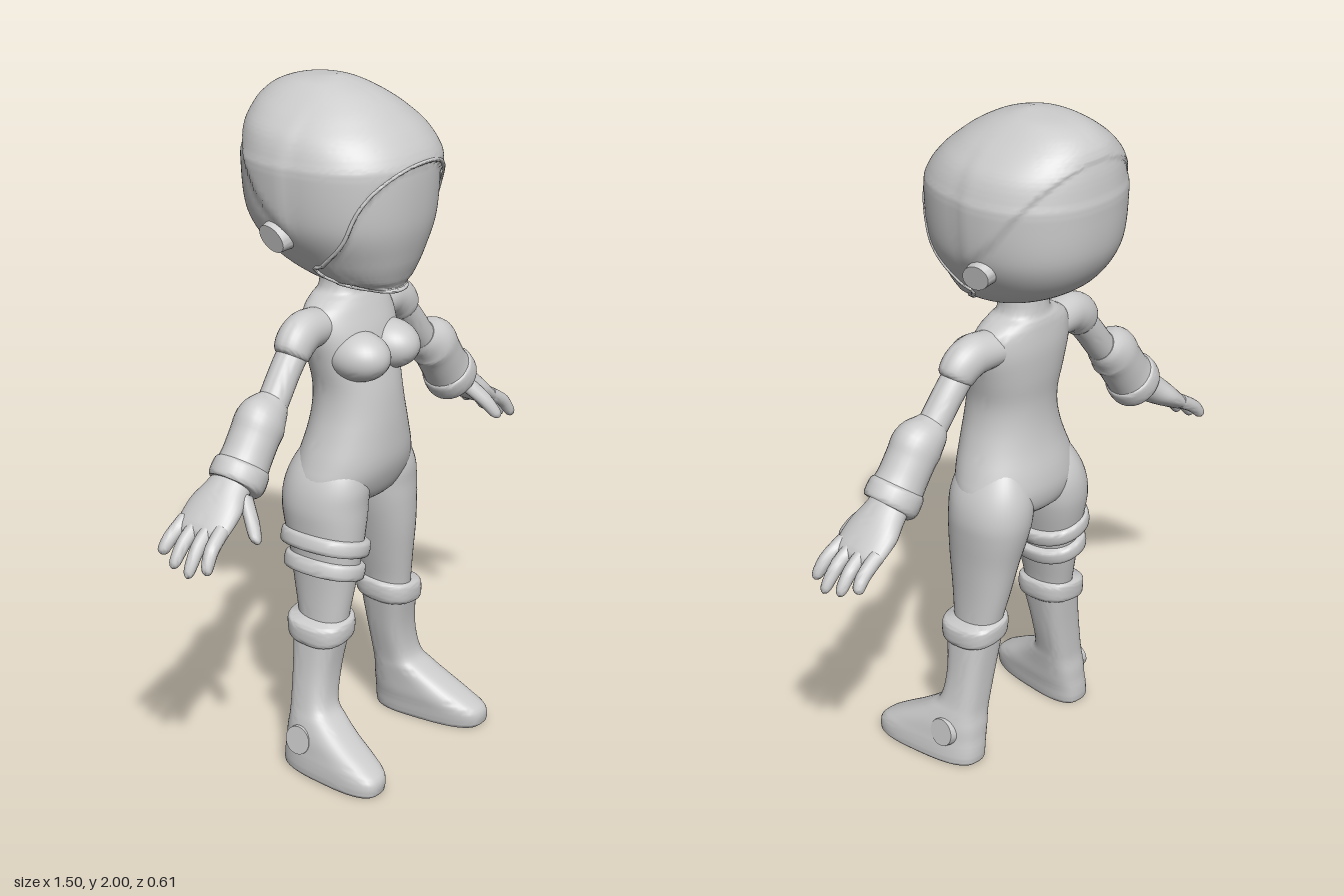
import * as THREE from 'three';
import { toCreasedNormals } from 'three/addons/utils/BufferGeometryUtils.js';

const grey = new THREE.MeshStandardMaterial({ color: 0xcccccc });
const smooth = (a, b, v) => THREE.MathUtils.smoothstep(v, a, b);
const spow = (v, p) => Math.sign(v) * Math.abs(v) ** p;

// Catmull-Rom refinement of rows of numbers
function refine(rows, steps) {
  const out = [], last = rows.length - 1;
  const row = i => rows[Math.min(last, Math.max(0, i))];
  for (let i = 0; i < last; i++)
    for (let s = 0; s < steps; s++) {
      const t = s / steps;
      out.push(rows[i].map((p1, k) => {
        const p0 = row(i - 1)[k], p2 = row(i + 1)[k], p3 = row(i + 2)[k];
        return p1 + 0.5 * t * (p2 - p0 + t * (2 * p0 - 5 * p1 + 4 * p2 - p3 + t * (3 * (p1 - p2) + p3 - p0)));
      }));
    }
  out.push(rows[last]);
  return out;
}

// Capped skin over rings of points
function skin(rings) {
  const n = rings[0].length, pos = rings.flat(2), index = [];
  const at = (i, j) => i * n + (j % n);
  for (let i = 0; i < rings.length - 1; i++)
    for (let j = 0; j < n; j++)
      index.push(at(i, j), at(i + 1, j), at(i, j + 1), at(i + 1, j), at(i + 1, j + 1), at(i, j + 1));
  for (const i of [0, rings.length - 1]) {
    const c = pos.length / 3;
    for (let k = 0; k < 3; k++) pos.push(rings[i].reduce((s, p) => s + p[k], 0) / n);
    for (let j = 0; j < n; j++)
      index.push(c, ...(i ? [at(i, j + 1), at(i, j)] : [at(i, j), at(i, j + 1)]));
  }
  const g = new THREE.BufferGeometry();
  g.setAttribute('position', new THREE.Float32BufferAttribute(pos, 3));
  g.setIndex(index);
  return g;
}

// Level sections going up: [y, x0, x1, z0, z1]
function stack(rows, { n = 40, steps = 4, power = 2.2, bend = p => p } = {}) {
  return skin(refine(rows, steps).map(([y, x0, x1, z0, z1]) => Array.from({ length: n }, (_, j) => {
    const a = j / n * Math.PI * 2, e = 2 / power;
    return bend([(x0 + x1) / 2 + (x1 - x0) / 2 * spow(Math.cos(a), e), y,
      (z0 + z1) / 2 + (z1 - z0) / 2 * spow(Math.sin(a), e)]);
  })));
}
const sym = rows => rows.map(([y, h, z0, z1]) => [y, -h, h, z0, z1]);

// Limb running in the front plane: [x, y, z, thickness radius, depth radius]
function limb(rows, steps = 4, n = 28) {
  const r = refine(rows, steps);
  return skin(r.map(([x, y, z, rn, rz], i) => {
    const p = r[Math.max(0, i - 1)], q = r[Math.min(r.length - 1, i + 1)];
    const dx = q[0] - p[0], dy = q[1] - p[1], l = Math.hypot(dx, dy) || 1;
    return Array.from({ length: n }, (_, j) => {
      const a = j / n * Math.PI * 2, c = Math.cos(a) * rn;
      return [x + c * dy / l, y - c * dx / l, z + rz * Math.sin(a)];
    });
  }));
}

// Rounded finger along three points
function finger(pts, r) {
  const path = new THREE.CatmullRomCurve3(pts.map(p => new THREE.Vector3(...p)));
  const rows = [0, 0.25, 0.5, 0.75, 0.9, 0.97, 1].map((t, i) => {
    const p = path.getPoint(t);
    return [p.x, p.y, p.z, r * [1.1, 1.05, 1, 0.9, 0.75, 0.45, 0.05][i], r * [1.1, 1.05, 1, 0.9, 0.75, 0.45, 0.05][i]];
  });
  return limb(rows, 2, 14);
}

const headRows = sym([
  [1.432, 0.05, 0.1, 0.18], [1.45, 0.10, -0.03, 0.19], [1.47, 0.14, -0.12, 0.2],
  [1.53, 0.19, -0.225, 0.222], [1.63, 0.242, -0.29, 0.245], [1.77, 0.256, -0.305, 0.25],
  [1.82, 0.247, -0.3, 0.238], [1.87, 0.225, -0.292, 0.2], [1.91, 0.19, -0.28, 0.155],
  [1.94, 0.155, -0.265, 0.115], [1.97, 0.112, -0.23, 0.06], [1.99, 0.072, -0.17, 0.0],
  [2.0, 0.015, -0.07, -0.04]]);
const HEAD_POWER = 2.25, VISOR = { y: 1.617, rx: 0.2, ry: 0.185, power: 2.4 };

// Front depth of the helmet at a given x and y
function helmetZ(x, y) {
  const rows = refine(headRows, 8);
  const i = Math.max(1, rows.findIndex(r => r[0] >= y)), a = rows[i - 1], b = rows[i];
  const t = THREE.MathUtils.clamp((y - a[0]) / (b[0] - a[0]), 0, 1);
  const [, , h, z0, z1] = a.map((v, k) => v + (b[k] - v) * t);
  const u = Math.min(1, Math.abs(x) / h);
  return (z0 + z1) / 2 + (z1 - z0) / 2 * (1 - u ** HEAD_POWER) ** (1 / HEAD_POWER);
}

// Sinks the visor and raises the shell above the seam that runs round the back
function shapeHelmet([x, y, z]) {
  if (z > 0.04) {
    const f = Math.abs(x / VISOR.rx) ** VISOR.power + Math.abs((y - VISOR.y) / VISOR.ry) ** VISOR.power;
    z -= 0.012 * (1 - smooth(0.88, 1, f));
  }
  const seam = z > -0.13 ? 1.58 - z * 0.92 : 1.7 + (-0.13 - z) * 1.35;
  const lift = 1 + 0.03 * smooth(-0.008, 0.008, y - seam) * smooth(0, 0.05, -z) * (1 - smooth(1.88, 1.98, y));
  return [x * lift, y, z * (z < -0.1 ? 1 + (lift - 1) * 0.6 : 1)];
}

export function createModel() {
  const model = new THREE.Group();
  const add = (name, geo) => {
    const mesh = new THREE.Mesh(toCreasedNormals(geo, 0.8), grey);
    mesh.name = name;
    model.add(mesh);
  };
  // Adds a left part and its mirrored right twin
  const pair = (name, geo) => {
    const twin = geo.clone().scale(-1, 1, 1);
    twin.index.array.reverse();
    add('left ' + name, geo);
    add('right ' + name, twin);
  };

  // Helmet, visor rim and ear discs
  add('helmet', stack(headRows, { n: 128, steps: 8, power: HEAD_POWER, bend: shapeHelmet }));
  const rim = Array.from({ length: 64 }, (_, i) => {
    const a = i / 64 * Math.PI * 2, e = 2 / VISOR.power;
    const x = VISOR.rx * spow(Math.cos(a), e), y = VISOR.y + VISOR.ry * spow(Math.sin(a), e);
    return new THREE.Vector3(x, y, helmetZ(x, y) - 0.003);
  });
  add('visor rim', new THREE.TubeGeometry(new THREE.CatmullRomCurve3(rim, true), 128, 0.006, 8, true));
  pair('ear disc', new THREE.CylinderGeometry(0.042, 0.048, 0.04, 32).scale(0.85, 1, 1.1)
    .rotateZ(-Math.PI / 2 - 0.25).rotateX(0.5).translate(0.232, 1.595, -0.075));

  // Torso with neck
  add('torso', stack(sym([
    [0.785, 0.07, -0.07, 0.08], [0.81, 0.15, -0.11, 0.115], [0.86, 0.2, -0.125, 0.14],
    [0.92, 0.188, -0.12, 0.155], [1.0, 0.16, -0.1, 0.155], [1.07, 0.141, -0.09, 0.15],
    [1.14, 0.136, -0.09, 0.14], [1.22, 0.15, -0.1, 0.12], [1.3, 0.165, -0.105, 0.1],
    [1.36, 0.155, -0.1, 0.075], [1.39, 0.115, -0.095, 0.06], [1.415, 0.075, -0.087, 0.05],
    [1.5, 0.07, -0.08, 0.05]]), { n: 56 }));
  pair('bust', new THREE.SphereGeometry(1, 32, 24).scale(0.08, 0.072, 0.1).translate(0.07, 1.237, 0.08));

  // Legs
  pair('leg', stack([
    [0.38, 0.1, 0.21, -0.045, 0.09], [0.46, 0.095, 0.207, -0.06, 0.1], [0.55, 0.075, 0.207, -0.08, 0.112],
    [0.65, 0.05, 0.212, -0.1, 0.125], [0.74, 0.025, 0.22, -0.122, 0.13], [0.8, 0.012, 0.222, -0.13, 0.13],
    [0.86, 0.01, 0.21, -0.124, 0.13], [0.92, 0.03, 0.18, -0.1, 0.11], [1.0, 0.06, 0.12, -0.05, 0.05]]));

  // Boots flaring outward to the toes, with a cuff and an ankle disc
  pair('boot', stack([
    [0, 0.165, 0.295, -0.042, 0.296], [0.012, 0.16, 0.302, -0.05, 0.305], [0.05, 0.155, 0.3, -0.05, 0.302],
    [0.08, 0.15, 0.295, -0.047, 0.26], [0.12, 0.147, 0.288, -0.045, 0.19], [0.16, 0.143, 0.277, -0.04, 0.13],
    [0.2, 0.138, 0.265, -0.04, 0.09], [0.3, 0.115, 0.248, -0.045, 0.083], [0.42, 0.09, 0.235, -0.055, 0.1]],
    { power: 2.8, bend: ([x, y, z]) => [x + 0.1 * z * (1 - smooth(0.1, 0.3, y)), y, z] }));
  pair('boot cuff', stack([
    [0.395, 0.092, 0.236, -0.055, 0.098], [0.405, 0.082, 0.247, -0.07, 0.112], [0.43, 0.078, 0.25, -0.074, 0.116],
    [0.455, 0.08, 0.248, -0.074, 0.114], [0.463, 0.088, 0.24, -0.066, 0.106]],
    { power: 2.5, bend: ([x, y, z]) => [x, y - 0.12 * (x - 0.164) - 0.06 * z, z] }));
  pair('ankle disc', new THREE.CylinderGeometry(0.042, 0.045, 0.03, 32)
    .rotateZ(-Math.PI / 2 + 0.15).translate(0.285, 0.105, 0.035));

  // Two slanted bands on the right thigh
  [[0.678, -0.132, 0.107, 0.133], [0.605, -0.137, 0.094, 0.122]].forEach(([y, x, rx, rz], i) => {
    const rows = [[-0.024, 0.93], [-0.019, 1], [0, 1.02], [0.019, 1], [0.024, 0.93]]
      .map(([h, s]) => [h, -rx * s, rx * s, -rz * s, rz * s]);
    add('thigh band ' + (i + 1), stack(rows, { steps: 2 }).rotateZ(-0.27).translate(x, y, 0.012));
  });

  // Arms: puffed shoulder, upper arm, flared gauntlet
  pair('shoulder', limb([
    [0.11, 1.322, -0.015, 0.05, 0.06], [0.16, 1.325, -0.012, 0.056, 0.058], [0.2, 1.323, -0.01, 0.06, 0.056],
    [0.235, 1.306, -0.008, 0.06, 0.055], [0.258, 1.278, -0.006, 0.054, 0.05], [0.264, 1.27, -0.006, 0.04, 0.04]]));
  pair('upper arm', limb([
    [0.21, 1.32, -0.008, 0.046, 0.044], [0.28, 1.245, -0.006, 0.044, 0.044],
    [0.34, 1.17, -0.003, 0.044, 0.044], [0.4, 1.1, 0, 0.044, 0.044]]));
  pair('gauntlet', limb([
    [0.345, 1.165, -0.003, 0.046, 0.046], [0.365, 1.15, -0.003, 0.06, 0.058], [0.402, 1.125, 0, 0.077, 0.07],
    [0.43, 1.09, 0, 0.072, 0.07], [0.462, 1.045, 0, 0.072, 0.07], [0.485, 1.015, 0, 0.075, 0.073]]));
  pair('gauntlet band', limb([
    [0.478, 1.026, 0, 0.072, 0.07], [0.484, 1.018, 0, 0.081, 0.078], [0.505, 0.99, 0, 0.083, 0.08],
    [0.516, 0.976, 0, 0.077, 0.074], [0.52, 0.972, 0, 0.06, 0.06]], 3));

  // Hands with four fingers and a thumb
  pair('palm', limb([
    [0.5, 1.0, -0.005, 0.045, 0.058], [0.545, 0.965, -0.008, 0.046, 0.07], [0.585, 0.935, -0.01, 0.041, 0.086],
    [0.625, 0.905, -0.01, 0.033, 0.088], [0.655, 0.882, -0.01, 0.024, 0.083], [0.668, 0.872, -0.01, 0.01, 0.075]]));
  [[-0.075, -0.086, 0.725, 0.825], [-0.03, -0.033, 0.742, 0.803], [0.014, 0.023, 0.748, 0.792],
    [0.054, 0.074, 0.73, 0.808]].forEach(([z0, z1, x, y], i) =>
    pair('finger ' + (i + 1), finger([[0.635, 0.9, z0], [0.695, 0.862, (z0 + z1) / 2], [x, y, z1]], 0.02)));
  pair('thumb', finger([[0.525, 0.965, 0.04], [0.555, 0.915, 0.088], [0.58, 0.858, 0.125]], 0.023));

  return model;
}
